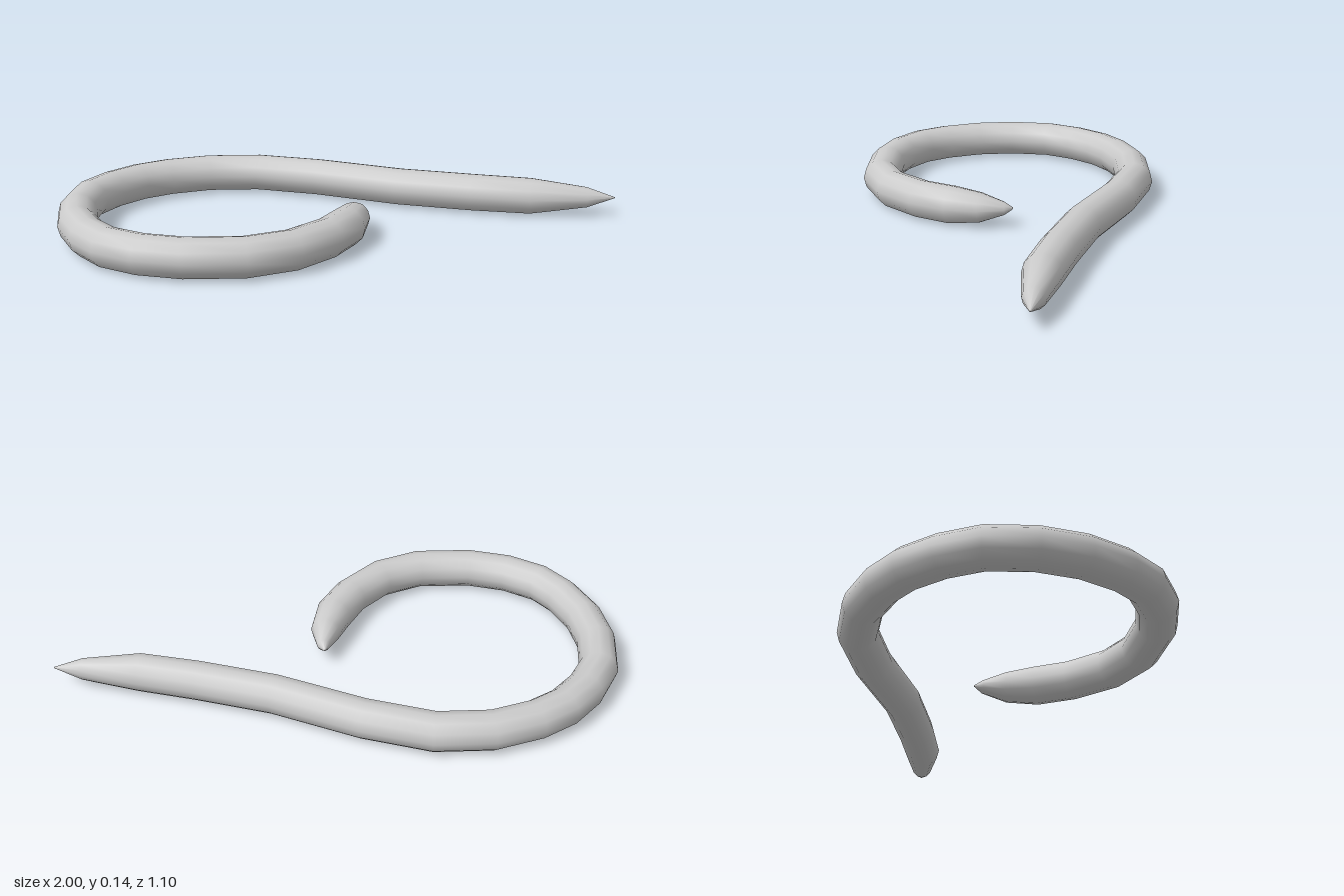
import * as THREE from 'three';

const MID = 0.071, SIDES = 12, R = 0.069;

// Centre line of the hook: x, z and, where it tapers, radius
const RINGS = [
  [1, 0, 0.002], [0.9, -0.018, 0.038], [0.7, -0.057, 0.067], [0.5, -0.124], [0.24, -0.226], [-0.05, -0.385],
  [-0.275, -0.475], [-0.465, -0.487], [-0.62, -0.45], [-0.73, -0.395], [-0.825, -0.31], [-0.9, -0.2],
  [-0.932, -0.048], [-0.922, 0.1], [-0.875, 0.235], [-0.81, 0.335], [-0.7, 0.415], [-0.56, 0.466],
  [-0.365, 0.48], [-0.21, 0.43], [-0.085, 0.325], [-0.01, 0.215], [0.03, 0.115, 0.055],
  [0.046, 0.03, 0.024], [0.045, 0, 0.003],
];

// Round cross-sections set square to the centre line and joined by quads
function sweep(rings) {
  const position = [], index = [], last = rings.length - 1;
  rings.forEach(([x, z, r = R], i) => {
    const a = rings[Math.max(i - 1, 0)], b = rings[Math.min(i + 1, last)];
    const t = new THREE.Vector2(b[0] - a[0], b[1] - a[1]).normalize();
    for (let j = 0; j < SIDES; j++) {
      const angle = (j / SIDES) * Math.PI * 2;
      const side = Math.cos(angle) * r;
      position.push(x - t.y * side, MID + Math.sin(angle) * r, z + t.x * side);
      if (i === last) continue;
      const k = (j + 1) % SIDES, p = i * SIDES, q = p + SIDES;
      index.push(p + j, q + j, p + k, p + k, q + j, q + k);
    }
  });
  // Close the two points
  for (let j = 1; j < SIDES - 1; j++) {
    const e = last * SIDES;
    index.push(0, j, j + 1, e, e + j + 1, e + j);
  }
  const geometry = new THREE.BufferGeometry();
  geometry.setAttribute('position', new THREE.Float32BufferAttribute(position, 3));
  geometry.setIndex(index);
  geometry.computeVertexNormals();
  return geometry;
}

export function createModel() {
  const group = new THREE.Group();
  group.name = 'curledTendril';
  const material = new THREE.MeshStandardMaterial({ color: 0xcccccc, side: THREE.DoubleSide });
  const body = new THREE.Mesh(sweep(RINGS), material);
  body.name = 'taperedBody';
  group.add(body);
  return group;
}
